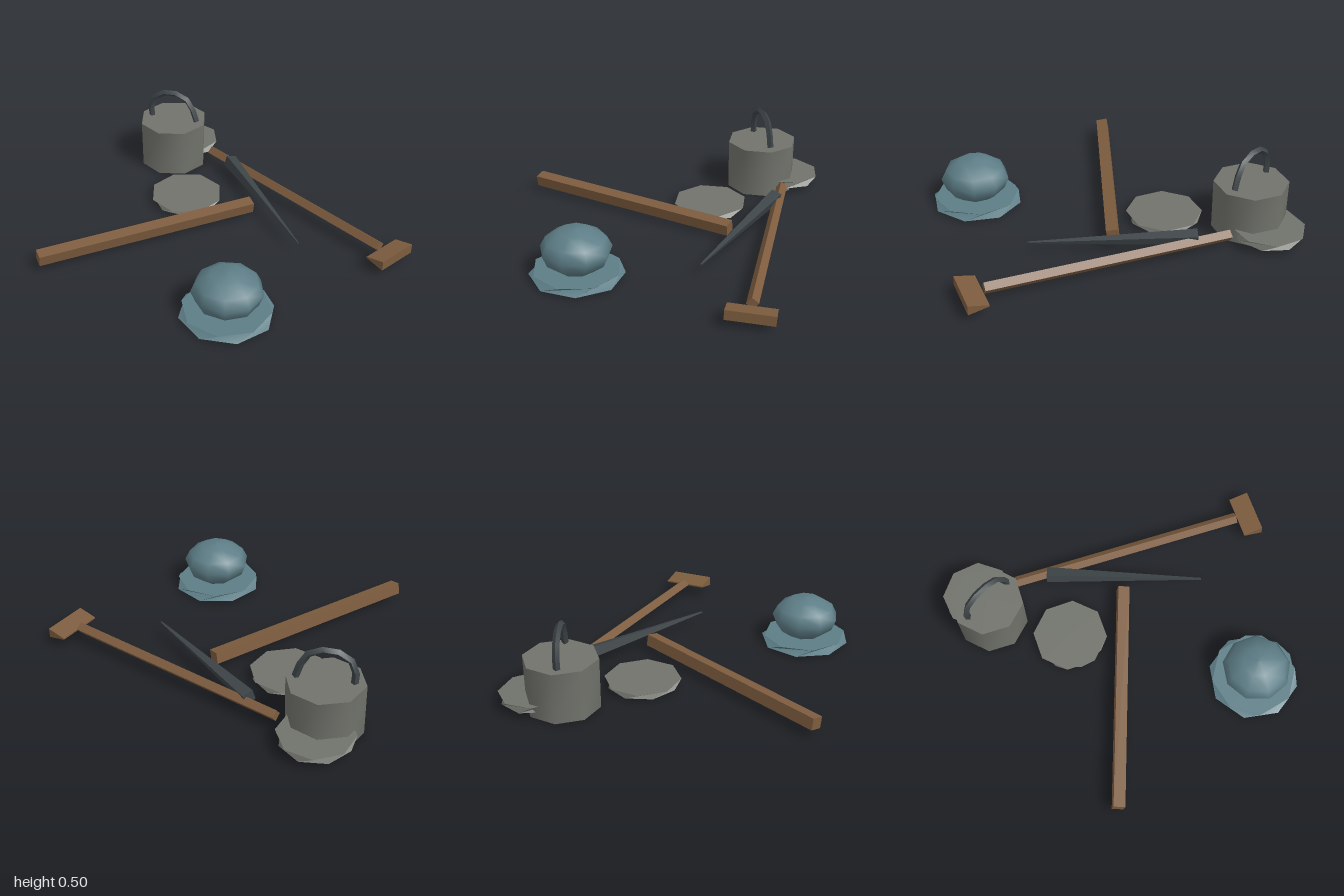
import * as THREE from 'three';
import { toCreasedNormals } from 'three/addons/utils/BufferGeometryUtils.js';

const mat = (name, color) => {
  const m = new THREE.MeshStandardMaterial({ color });
  m.name = name;
  return m;
};

export function createModel() {
  const model = new THREE.Group();
  const stone = mat('grey metal', 0x70726b);
  const iron = mat('dark iron', 0x3d4447);
  const wood = mat('brown wood', 0x7d5c3e);
  const blue = mat('dull blue', 0x5d7d86);

  const add = (name, geometry, material, x = 0, y = 0, z = 0) => {
    const mesh = new THREE.Mesh(geometry, material);
    mesh.name = name;
    mesh.position.set(x, y, z);
    model.add(mesh);
    return mesh;
  };

  // Four-sided bar between two points; roll turns the square section
  const bar = (name, a, b, rA, rB, roll, material) => {
    const from = new THREE.Vector3(...a), to = new THREE.Vector3(...b);
    const geo = new THREE.CylinderGeometry(rB, rA, from.distanceTo(to), 4)
      .rotateX(Math.PI / 2).rotateZ(roll);
    const mid = from.clone().add(to).multiplyScalar(0.5);
    const mesh = add(name, toCreasedNormals(geo, 0.5), material, mid.x, mid.y, mid.z);
    mesh.lookAt(to);
    return mesh;
  };

  // Thin plate whose upper rim is turned half a side from the lower rim
  const plate = (name, rTop, rBottom, h, sides, turn, material, x, y, z) => {
    const geo = new THREE.CylinderGeometry(rTop, rBottom, h, sides, 1, false, turn);
    const p = geo.attributes.position;
    const c = Math.cos(Math.PI / sides), s = Math.sin(Math.PI / sides);
    for (let i = 0; i < p.count; i++) {
      if (p.getY(i) < 0) continue;
      const px = p.getX(i), pz = p.getZ(i);
      p.setX(i, px * c + pz * s);
      p.setZ(i, pz * c - px * s);
    }
    return add(name, toCreasedNormals(geo, 0.4), material, x, y, z);
  };

  // Cooking pot with a bent handle
  const potGeo = new THREE.CylinderGeometry(0.214, 0.211, 0.3, 8, 1, false, 0.36);
  add('pot', toCreasedNormals(potGeo, 1), stone, -0.75, 0.15, -0.525);
  const arc = new THREE.CatmullRomCurve3([
    [-0.15, -0.02], [-0.15, 0.1], [-0.09, 0.165], [0, 0.185], [0.1, 0.145], [0.155, 0.01],
  ].map(([x, y]) => new THREE.Vector3(x, y, 0)));
  const handleGeo = new THREE.TubeGeometry(arc, 7, 0.02, 4);
  add('potHandle', toCreasedNormals(handleGeo, 0.6), iron, -0.745, 0.3, -0.525)
    .rotation.y = 0.436;

  // Two loose lids
  plate('lid', 0.222, 0.205, 0.036, 8, 0, stone, -0.345, 0.026, -0.25);
  const tilted = plate('tiltedLid', 0.212, 0.2, 0.042, 8, 0.1, stone, -0.79, 0.06, -0.675);
  tilted.rotation.set(-0.03, 0, 0.02);

  // Saucer with a round bowl on it
  plate('saucer', 0.25, 0.266, 0.036, 8, 0.2, blue, 0.6, 0.028, 0.36);
  const profile = [[0, 0.045], [0.11, 0.05], [0.175, 0.1], [0.2, 0.165], [0.17, 0.225], [0.09, 0.275], [0, 0.285]]
    .map(([x, y]) => new THREE.Vector2(x, y));
  add('bowl', new THREE.LatheGeometry(profile, 9), blue, 0.605, 0, 0.36);

  // Plain wooden beam
  bar('beam', [0.053, 0.072, -0.415], [-0.425, 0.074, 0.845], 0.048, 0.048, Math.PI / 4 - 0.18, wood);

  // Hammer: long shaft and a wedge head
  bar('hammerShaft', [-0.545, 0.08, -0.675], [0.872, 0.08, -0.622], 0.033, 0.034, 0.12, wood);
  const wedge = new THREE.Shape();
  wedge.moveTo(-0.058, -0.004);
  wedge.lineTo(0.058, -0.029);
  wedge.lineTo(0.058, 0.029);
  wedge.lineTo(-0.058, 0.004);
  const headGeo = new THREE.ExtrudeGeometry(wedge, { depth: 0.265, bevelEnabled: false })
    .translate(0, 0, -0.1325);
  const head = add('hammerHead', headGeo, wood, 0.94, 0.07, -0.623);
  head.rotation.set(-0.04, -0.02, 0);

  // Long tapering iron spike
  bar('spike', [-0.355, 0.1, -0.648], [0.52, 0.08, -0.31], 0.046, 0.006, 0.5, iron);

  return model;
}
